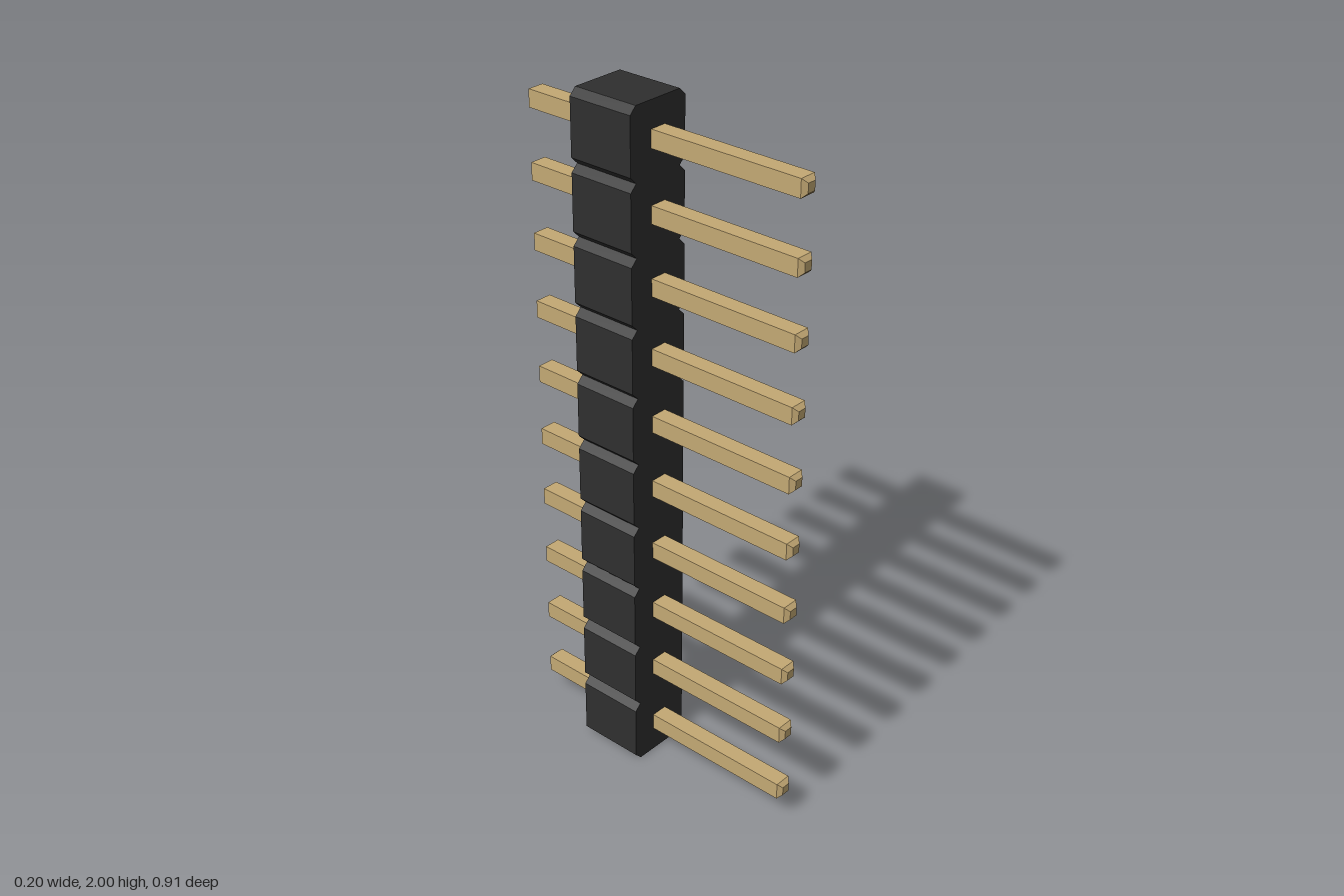
import * as THREE from 'three';

const PINS = 10, PITCH = 0.2;

export function createModel() {
  const group = new THREE.Group();
  group.name = 'pinHeader';
  const plastic = new THREE.MeshStandardMaterial({ color: 0x2f2f2f });
  plastic.name = 'black plastic';
  const brass = new THREE.MeshStandardMaterial({ color: 0xc4a974 });
  brass.name = 'gold plating';

  // Housing: one outline with chamfered corners, notched between cells
  const w = 0.1, c = 0.02, right = [];
  for (let i = 0; i < PINS; i++) {
    const y = i * PITCH;
    right.push([w - c, y], [w, y + c], [w, y + PITCH - c]);
  }
  right.push([w - c, PINS * PITCH]);
  const left = right.map(([x, y]) => [-x, y]).reverse();
  const outline = new THREE.Shape([...right, ...left].map(([x, y]) => new THREE.Vector2(x, y)));
  const housingGeo = new THREE.ExtrudeGeometry(outline, { depth: 0.2, bevelEnabled: false });
  housingGeo.translate(0, 0, -0.22);
  const housing = new THREE.Mesh(housingGeo, plastic);
  housing.name = 'housing';
  group.add(housing);

  // Pins: square bars with bevelled tips, running right through the housing
  const tip = 0.013, bevel = 0.012, halfLength = 0.453;
  const square = new THREE.Shape([[-1, -1], [1, -1], [1, 1], [-1, 1]]
    .map(([x, y]) => new THREE.Vector2(x * tip, y * tip)));
  const pinGeo = new THREE.ExtrudeGeometry(square, {
    depth: 2 * (halfLength - bevel), bevelSize: bevel, bevelThickness: bevel, bevelSegments: 1,
  });
  pinGeo.translate(0, 0, bevel - halfLength);
  for (let i = 0; i < PINS; i++) {
    const pin = new THREE.Mesh(pinGeo, brass);
    pin.name = `pin${i + 1}`;
    pin.position.y = (i + 0.5) * PITCH;
    group.add(pin);
  }
  return group;
}
